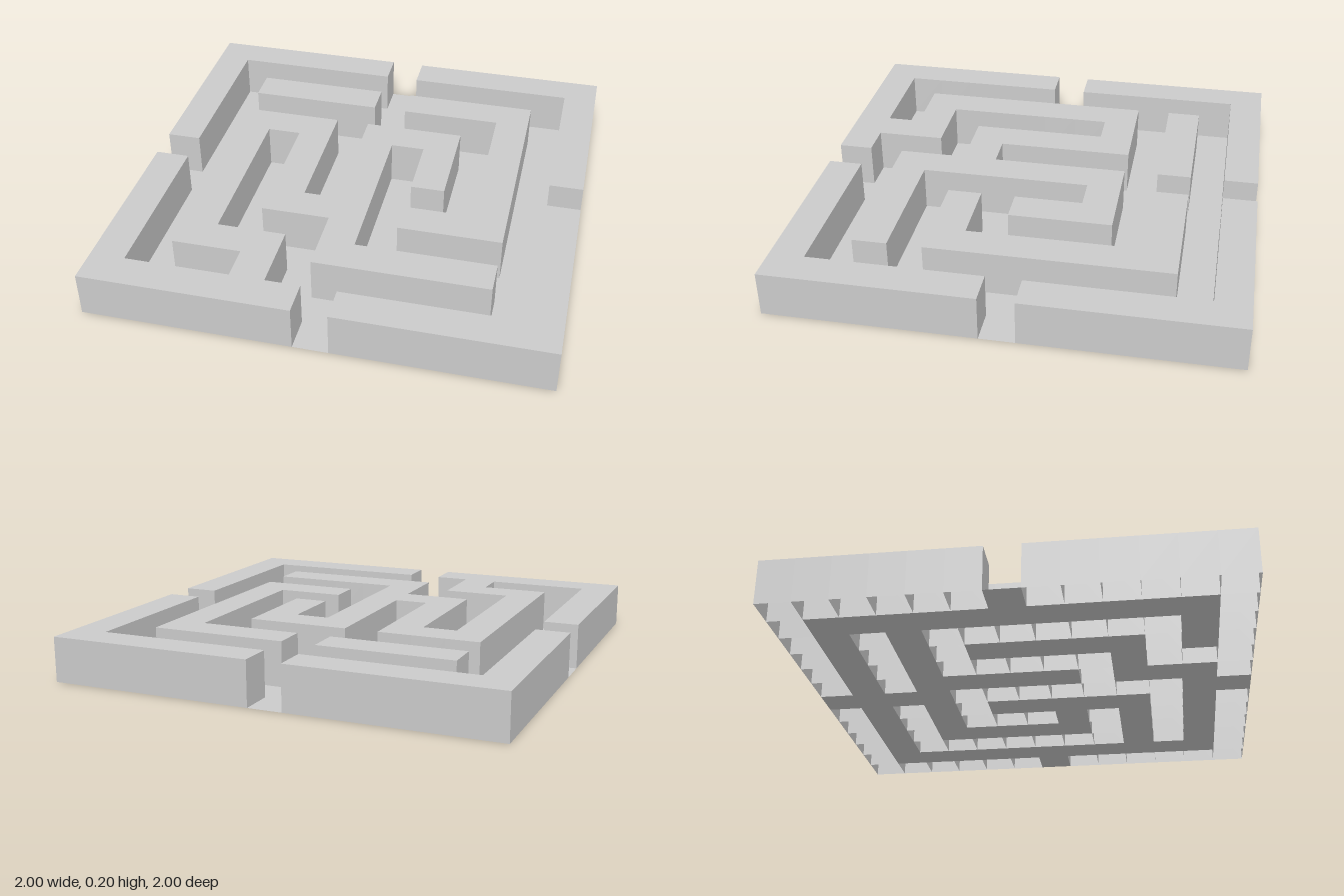
import * as THREE from 'three';
import { mergeGeometries } from 'three/addons/utils/BufferGeometryUtils.js';

// Plan of the maze, back row first: # is a wall block, . is open floor
const PLAN = [
  '######.######',
  '#...........#',
  '#.####.####.#',
  '#.........#.#',
  '#.###.###.#.#',
  '#.#.#.#.#.#.#',
  '..#.#.#.#.#..',
  '#.#.#.#...#.#',
  '#.#.###.###.#',
  '#.#...#.....#',
  '#.###.#####.#',
  '#...#.......#',
  '######.######',
];
const N = PLAN.length;
const CELL = 2 / N;
const HEIGHT = 0.2;

const isWall = (col, row) => PLAN[row]?.[col] === '#';
const centre = (i) => -1 + (i + 0.5) * CELL;

// Horizontal square facing up
function tile(col, row, y) {
  return new THREE.PlaneGeometry(CELL, CELL)
    .rotateX(-Math.PI / 2)
    .translate(centre(col), y, centre(row));
}

// Upright panel on the (dx, dz) side of a cell, facing away from it
function panel(col, row, dx, dz) {
  return new THREE.PlaneGeometry(CELL, HEIGHT)
    .rotateY(Math.atan2(dx, dz))
    .translate(centre(col) + dx * CELL / 2, HEIGHT / 2, centre(row) + dz * CELL / 2);
}

export function createModel() {
  const tops = [], sides = [], partitions = [], floors = [];

  for (let row = 0; row < N; row++) {
    for (let col = 0; col < N; col++) {
      if (!isWall(col, row)) {
        floors.push(tile(col, row, 0));
        continue;
      }
      tops.push(tile(col, row, HEIGHT));
      for (const [dx, dz] of [[1, 0], [-1, 0], [0, 1], [0, -1]]) {
        if (!isWall(col + dx, row + dz)) sides.push(panel(col, row, dx, dz));
        // Hollow blocks share one inner partition, seen from underneath
        else if (dx + dz > 0) partitions.push(panel(col, row, dx, dz));
      }
    }
  }

  const material = new THREE.MeshStandardMaterial({ color: 0xcccccc, side: THREE.DoubleSide });
  const model = new THREE.Group();
  model.name = 'maze';
  const parts = { wallTops: tops, wallSides: sides, wallPartitions: partitions, pathFloor: floors };
  for (const [name, pieces] of Object.entries(parts)) {
    const mesh = new THREE.Mesh(mergeGeometries(pieces), material);
    mesh.name = name;
    model.add(mesh);
  }
  return model;
}
